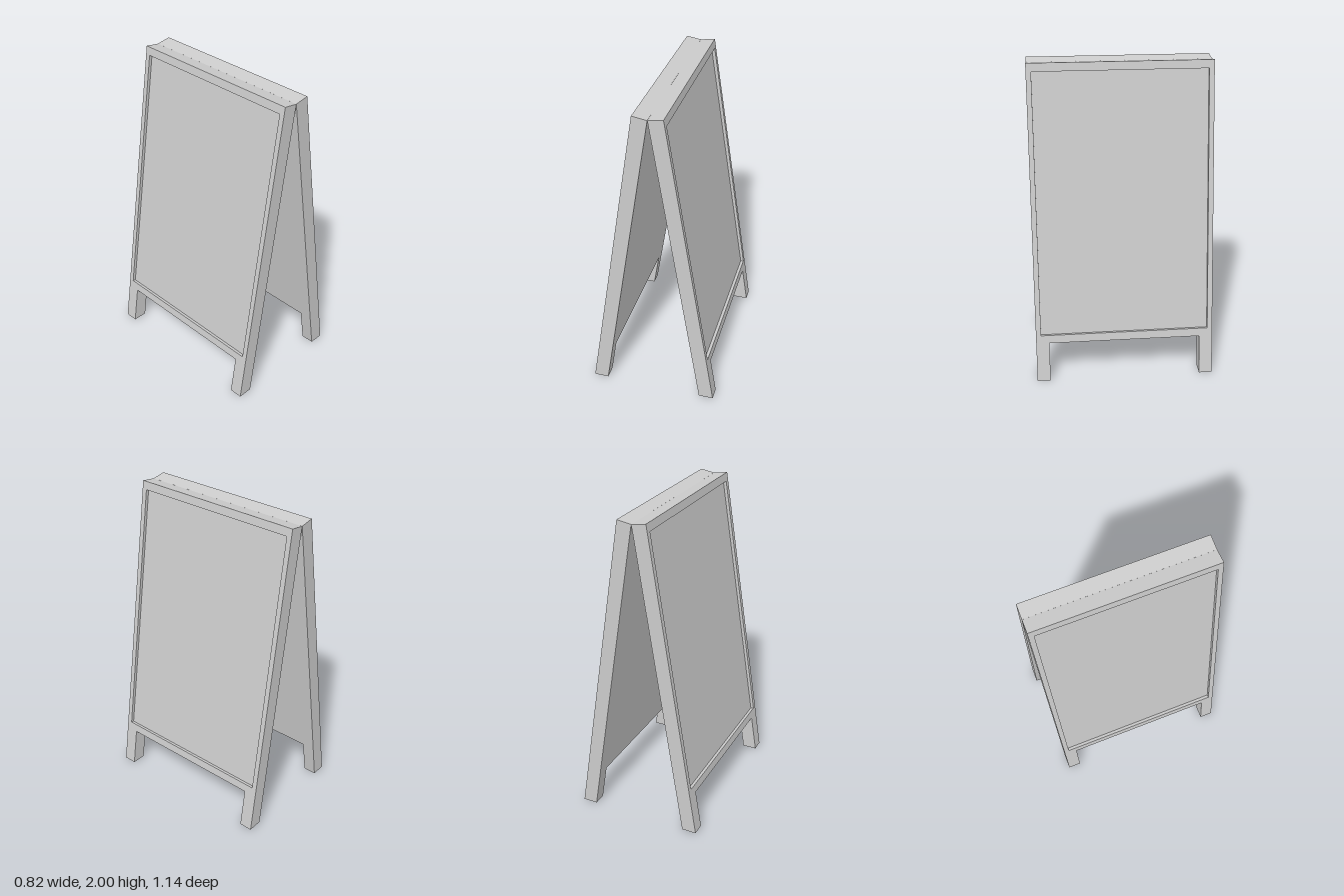
import * as THREE from 'three';

const TOP_X = 0.091, FOOT_X = 0.408, HEIGHT = 2;   // outer face line of one leaf
const THICK = 0.092, RECESS = 0.02;
const SLOPE = (FOOT_X - TOP_X) / HEIGHT;
const COS = 1 / Math.hypot(1, SLOPE), SIN = SLOPE * COS;

// Tilt a flat extrusion (width, height, depth) onto the sloping leaf; cut level at the ground
function lean(geometry) {
  const p = geometry.attributes.position;
  for (let i = 0; i < p.count; i++) {
    const w = p.getX(i), h = p.getY(i), d = p.getZ(i);
    let x = TOP_X + (HEIGHT - h) * SLOPE + d * COS;
    let y = h + d * SIN;
    if (y < 0) {
      x += y * SLOPE;
      y = 0;
    }
    p.setXYZ(i, x, y, -w);
  }
  geometry.computeVertexNormals();
  return geometry;
}

const points = (list) => list.map(([x, y]) => new THREE.Vector2(x, y));
const rect = (w, y0, y1) => points([[-w, y0], [w, y0], [w, y1], [-w, y1]]);

// Extrude from the inner face of the leaf up to the given depth below its outer face
function slab(shape, sunk) {
  const geometry = new THREE.ExtrudeGeometry(shape, { depth: THICK - sunk, bevelEnabled: false });
  geometry.translate(0, 0, -THICK);
  return lean(geometry);
}

export function createModel() {
  const model = new THREE.Group();
  model.name = 'sandwichBoard';
  const material = new THREE.MeshStandardMaterial({ color: 0xcccccc, flatShading: true });

  const W = 0.569, LEG = 0.485, RAIL = 0.252;
  const opening = rect(0.537, 0.304, 1.949);

  // Frame outline with two legs below the bottom rail
  const frameShape = new THREE.Shape(points([
    [-W, 0], [-LEG, 0], [-LEG, RAIL], [LEG, RAIL],
    [LEG, 0], [W, 0], [W, HEIGHT], [-W, HEIGHT],
  ]));
  frameShape.holes.push(new THREE.Path(opening));
  const frameGeometry = slab(frameShape, 0);

  // Writing panel, sunk into the outer face and flush with the inner face
  const panelGeometry = slab(new THREE.Shape(opening), RECESS);

  // Two mirrored leaves meeting at the ridge
  for (const [side, angle] of [['left', 0], ['right', Math.PI]]) {
    const leaf = new THREE.Group();
    leaf.name = side + 'Leaf';
    const frame = new THREE.Mesh(frameGeometry, material);
    frame.name = side + 'Frame';
    const panel = new THREE.Mesh(panelGeometry, material);
    panel.name = side + 'Panel';
    leaf.add(frame, panel);
    leaf.rotation.y = angle;
    model.add(leaf);
  }
  return model;
}
